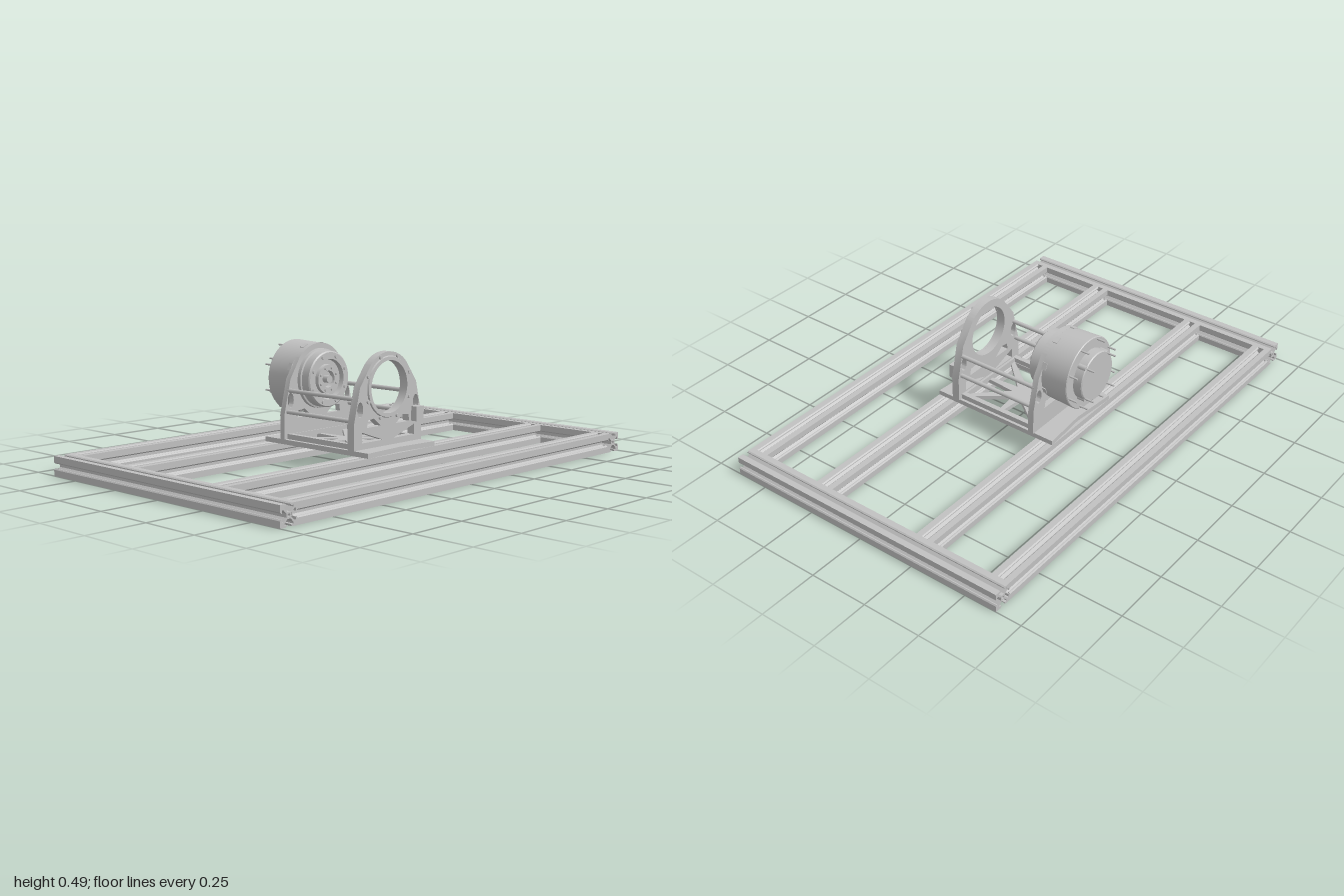
import * as THREE from 'three';
import { toCreasedNormals } from 'three/addons/utils/BufferGeometryUtils.js';

const AXIS_Y = 0.335; // height of the motor axis

export function createModel() {
  const root = new THREE.Group();
  const grey = new THREE.MeshStandardMaterial({ color: 0xc0c0c0 });
  grey.name = 'aluminium grey';

  function add(name, geometry, x = 0, y = 0, z = 0, parent = root) {
    const mesh = new THREE.Mesh(geometry, grey);
    mesh.name = name;
    mesh.position.set(x, y, z);
    parent.add(mesh);
    return mesh;
  }
  const box = (w, h, d) => new THREE.BoxGeometry(w, h, d);
  const extrude = (shape, depth) =>
    new THREE.ExtrudeGeometry(shape, { depth, bevelEnabled: false, curveSegments: 24 });
  const rod = (r, length, sides = 12) =>
    new THREE.CylinderGeometry(r, r, length, sides).rotateX(Math.PI / 2);
  const polygon = (pts) => pts.map(([x, y]) => new THREE.Vector2(x, y));
  // Turned part around z; points run from back to front as [radius, z]
  const turned = (pts, sides = 40) =>
    toCreasedNormals(new THREE.LatheGeometry(polygon(pts), sides).rotateX(Math.PI / 2), 0.6);

  // Slotted rail cross-section: one side with a chamfered slot, turned four times
  const side = [[0.04, 0.04], [0.015, 0.04], [0.01, 0.036], [0.01, 0.032], [0.021, 0.032],
    [0.021, 0.026], [0.007, 0.012], [-0.007, 0.012], [-0.021, 0.026], [-0.021, 0.032],
    [-0.01, 0.032], [-0.01, 0.036], [-0.015, 0.04]];
  const section = [];
  for (let k = 0; k < 4; k++) {
    for (const [x, y] of side) {
      section.push(new THREE.Vector2(x, y).rotateAround(new THREE.Vector2(), k * Math.PI / 2));
    }
  }
  const railShape = new THREE.Shape(section);
  railShape.holes.push(new THREE.Path().absarc(0, 0, 0.006, 0, Math.PI * 2, true));
  const rail = (length) => extrude(railShape, length).translate(0, 0, -length / 2);

  // Rail frame
  for (const s of [-1, 1]) add('sideRail', rail(1.28), s * 0.96, 0.04, 0);
  for (const z of [-0.6, -0.25, 0.25, 0.6]) {
    add('crossRail', rail(1.84).rotateY(Math.PI / 2), 0, 0.04, z);
  }

  // Base plate with open middle and shallow chevron ends
  const base = new THREE.Shape(polygon([
    [-0.2, -0.29], [0, -0.275], [0.195, -0.29], [0.195, 0.29], [0, 0.275], [-0.2, 0.29]]));
  base.holes.push(new THREE.Path(polygon([
    [-0.158, -0.18], [-0.158, 0.18], [0.158, 0.18], [0.158, -0.18]])));
  add('basePlate', extrude(base, 0.02).rotateX(-Math.PI / 2), 0, 0.08, 0);

  // Star-shaped brace with tapering arms
  const star = new THREE.Shape();
  const tips = [[0.162, 0], [0.162, 0.185], [0, 0.185], [-0.162, 0.185],
    [-0.162, 0], [-0.162, -0.185], [0, -0.185], [0.162, -0.185]];
  tips.forEach(([x, y], i) => {
    const a = (i + 0.5) * Math.PI / 4;
    const l = Math.hypot(x, y);
    const nx = -y / l * 0.008, ny = x / l * 0.008;
    if (i === 0) star.moveTo(x - nx, y - ny);
    else star.lineTo(x - nx, y - ny);
    star.lineTo(x + nx, y + ny);
    star.lineTo(Math.cos(a) * 0.05, Math.sin(a) * 0.05);
  });
  add('starBrace', extrude(star, 0.018).rotateX(-Math.PI / 2), 0, 0.085, 0);

  // Lower frame bars joining both uprights
  for (const s of [-1, 1]) {
    add('lowerBar', box(0.022, 0.022, 0.4), s * 0.172, 0.11, 0);
    add('endBar', box(0.36, 0.02, 0.03), 0, 0.11, s * 0.185);
  }

  // Upright plate: wide foot, shoulders, round top
  function upright(name, outer, inner, depth, z, footWindows) {
    const shape = new THREE.Shape(polygon([
      [-0.2, 0.1], [0.2, 0.1], [0.2, 0.2], [0.165, 0.345]]));
    shape.absarc(0, AXIS_Y, outer, 0.7, Math.PI - 0.7, false);
    shape.lineTo(-0.165, 0.345);
    shape.lineTo(-0.2, 0.2);
    shape.holes.push(new THREE.Path().absarc(0, AXIS_Y, inner, 0, Math.PI * 2, true));
    for (const s of [-1, 1]) {
      shape.holes.push(new THREE.Path().absellipse(s * 0.164, 0.258, 0.017, 0.03, 0, Math.PI * 2, true, 0));
      shape.holes.push(new THREE.Path(polygon([
        [s * 0.045, 0.183], [s * 0.125, 0.183], [s * 0.12, 0.212], [s * 0.085, 0.216]])));
      if (footWindows) {
        shape.holes.push(new THREE.Path(polygon([
          [s * 0.03, 0.125], [s * 0.155, 0.125], [s * 0.155, 0.168]])));
      }
    }
    add(name, toCreasedNormals(extrude(shape, depth), 0.5), 0, 0, z);
  }
  upright('frontUpright', 0.14, 0.106, 0.034, 0.18, true);
  upright('rearUpright', 0.147, 0.115, 0.025, -0.2, false);

  // Raised lip and bolts on the front ring
  add('frontRingLip', turned([[0.106, 0], [0.125, 0], [0.121, 0.008], [0.106, 0.008], [0.106, 0]]), 0, AXIS_Y, 0.212);
  for (let i = 0; i < 8; i++) {
    const a = (i + 0.5) * Math.PI / 4;
    add('ringBolt', rod(0.008, 0.012, 8), Math.cos(a) * 0.13, AXIS_Y + Math.sin(a) * 0.13, 0.216);
  }
  add('sensorBlock', box(0.045, 0.06, 0.04), 0.16, 0.212, 0.222);

  // Tie rods between the uprights
  for (const s of [-1, 1]) {
    add('upperTieRod', rod(0.009, 0.37), s * 0.168, 0.298, 0);
    add('lowerTieRod', rod(0.009, 0.37), s * 0.18, 0.212, 0);
  }

  // Motor
  const motor = new THREE.Group();
  motor.name = 'motor';
  motor.position.y = AXIS_Y;
  root.add(motor);
  add('motorDrum', turned([
    [0, -0.362], [0.102, -0.362], [0.106, -0.358], [0.106, -0.322], [0.149, -0.322], [0.152, -0.319],
    [0.147, -0.198], [0.126, -0.198], [0.124, -0.16], [0.117, -0.158],
    [0.117, -0.12], [0.112, -0.115], [0.084, -0.115], [0.08, -0.135], [0.062, -0.135],
    [0.06, -0.12], [0.035, -0.12], [0.033, -0.14], [0, -0.14]]), 0, 0, 0, motor);
  add('motorShaft', rod(0.016, 0.03, 16), 0, 0, -0.128, motor);
  for (let i = 0; i < 8; i++) {
    const a = (i + 0.5) * Math.PI / 4;
    const c = Math.cos(a), s = Math.sin(a);
    add('rearPin', rod(0.004, 0.04, 8), c * 0.141, s * 0.141, -0.338, motor);
    add('hubBolt', rod(0.008, 0.01, 8), c * 0.099, s * 0.099, -0.114, motor);
    add('rotorBolt', rod(0.006, 0.01, 8), c * 0.048, s * 0.048, -0.118, motor);
    add('drumTab', box(0.014, 0.03, 0.02), c * 0.143, s * 0.143, -0.206, motor).rotation.z = a;
  }
  for (let i = 0; i < 4; i++) {
    const a = (i + 0.5) * Math.PI / 2;
    const c = Math.cos(a) * 0.1, s = Math.sin(a) * 0.1;
    add('terminalPin', rod(0.004, 0.06, 8), c, s, -0.367, motor);
    add('terminalBoss', rod(0.012, 0.035, 10), c, s, -0.342, motor);
  }
  return root;
}
